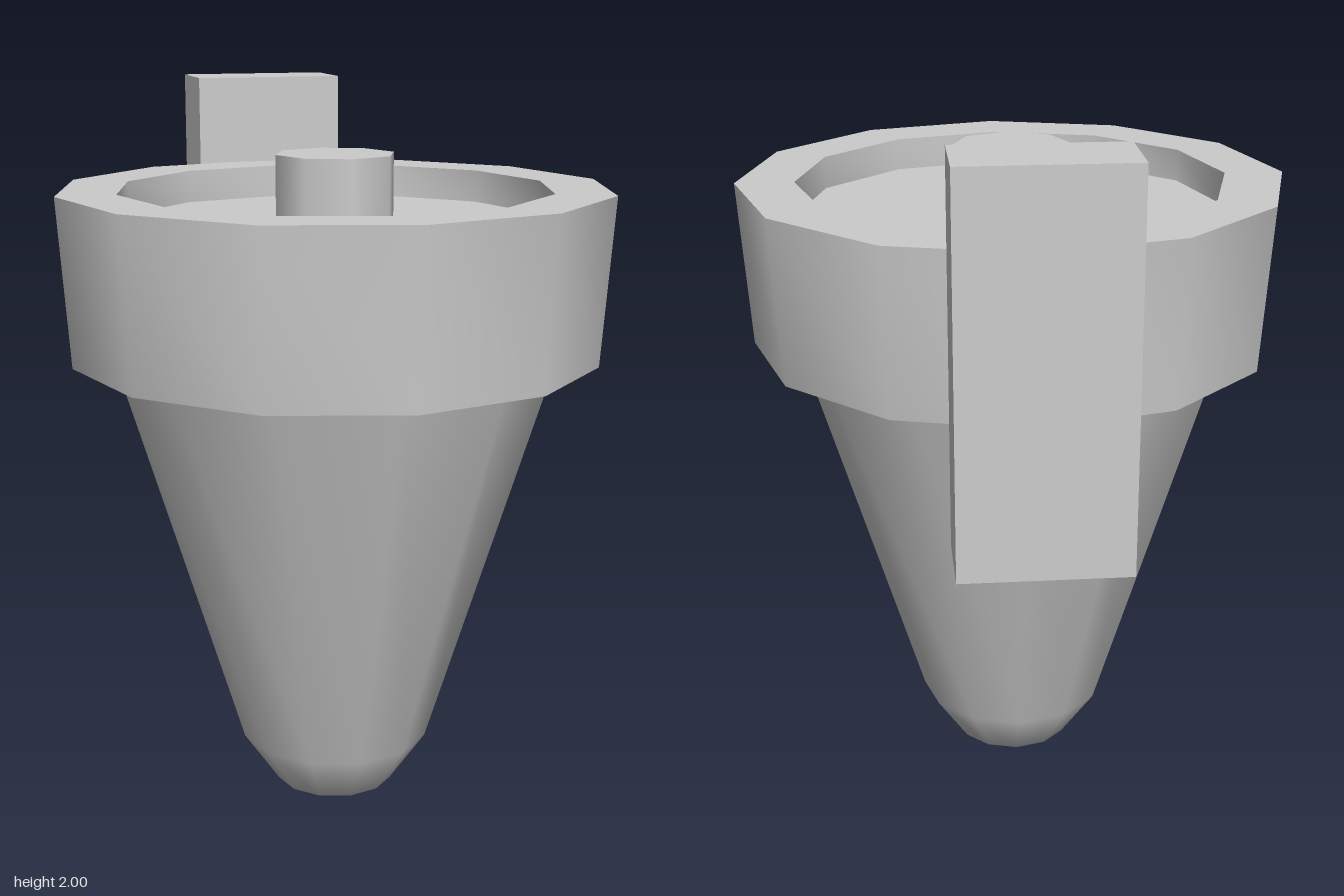
import * as THREE from 'three';
import { toCreasedNormals } from 'three/addons/utils/BufferGeometryUtils.js';

const SIDES = 12;
const AXIS_Z = 0.09; // the round body sits slightly forward of the mount

function lathe(profile) {
  return new THREE.LatheGeometry(profile.map(([r, y]) => new THREE.Vector2(r, y)), SIDES);
}

export function createModel() {
  const model = new THREE.Group();
  const material = new THREE.MeshStandardMaterial({ color: 0xcccccc });

  function add(name, geometry, y, z) {
    const mesh = new THREE.Mesh(geometry, material);
    mesh.name = name;
    mesh.position.set(0, y, z);
    model.add(mesh);
  }

  // Tapering body with a blunt tip
  add('taperedBody', lathe([[0, 0.005], [0.165, 0.055], [0.265, 0.2], [0.6, 1.3]]), 0, AXIS_Z);

  // Wide collar: underside, flared wall, rim and recessed floor
  const collar = lathe([
    [0.58, 1.3], [0.715, 1.3], [0.745, 1.75], [0.585, 1.75], [0.585, 1.66], [0, 1.66],
  ]);
  add('collar', toCreasedNormals(collar, 0.7), 0, AXIS_Z);

  // Central knob rising from the recess
  add('knob', new THREE.CylinderGeometry(0.163, 0.163, 0.19, 8), 1.745, AXIS_Z);

  // Upright mounting block at the back
  add('mountBlock', new THREE.BoxGeometry(0.43, 1, 0.215), 1.5, -0.7325);

  return model;
}
